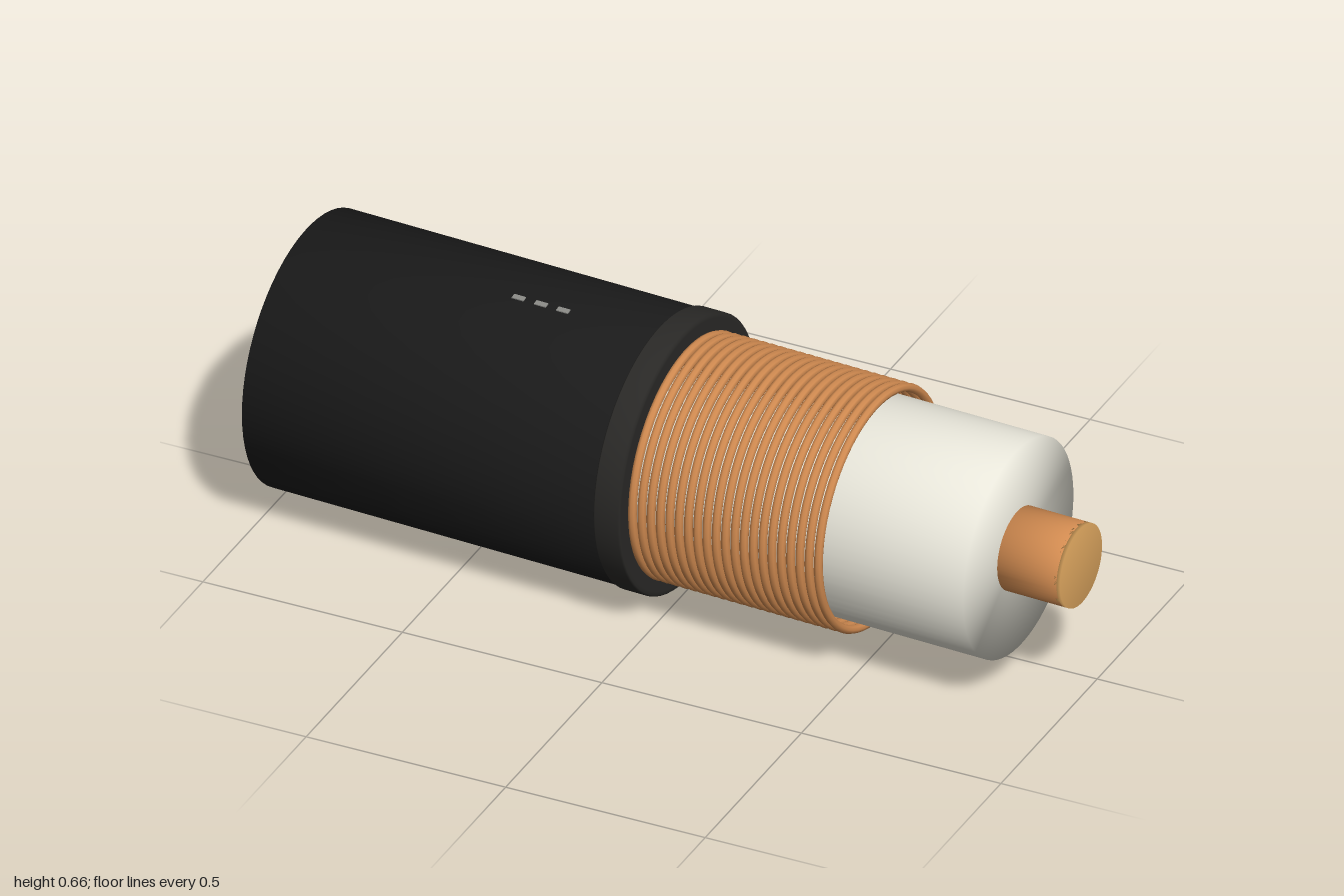
import * as THREE from 'three';

const SEG = 64;
const mat = (color) => new THREE.MeshStandardMaterial({ color, side: THREE.DoubleSide });
const black = mat(0x1a1a1a), rubber = mat(0x2a2927), copper = mat(0xd08a50);
const brightCopper = mat(0xe0a860), white = mat(0xe8e6da), grey = mat(0x8a8a86);

// Solid of revolution about the x axis; profile is [x, radius] pairs from left to right
function turned(name, profile, material) {
  const geo = new THREE.LatheGeometry(profile.map(([x, r]) => new THREE.Vector2(r, x)), SEG);
  geo.rotateZ(-Math.PI / 2);
  const mesh = new THREE.Mesh(geo, material);
  mesh.name = name;
  return mesh;
}

// Plain capped rod with softly shaded ends
const rod = (name, x0, x1, r, material) =>
  turned(name, [[x0, 0], [x0, r], [x1, r], [x1, 0]], material);

export function createModel() {
  const cable = new THREE.Group();
  cable.name = 'cable';

  // Outer sheath with its end collar
  cable.add(rod('jacket', -0.985, -0.03, 0.327, black));
  cable.add(turned('jacketCollar', [
    [-0.082, 0], [-0.082, 0.328], [-0.078, 0.332], [-0.02, 0.332],
    [-0.016, 0.328], [-0.016, 0.32], [-0.016, 0],
  ], rubber));

  // Shield wound from closely spaced wire rings
  const shield = new THREE.Group();
  shield.name = 'shield';
  const ringGeo = new THREE.TorusGeometry(0.2825, 0.0105, 8, SEG).rotateY(Math.PI / 2);
  const rings = 21;
  for (let i = 0; i < rings; i++) {
    const ring = new THREE.Mesh(ringGeo, copper);
    ring.name = 'shieldRing';
    ring.position.x = -0.007 + i * (0.477 / (rings - 1));
    shield.add(ring);
  }
  cable.add(shield);

  // Insulating core and centre conductor
  cable.add(rod('insulator', -0.02, 0.83, 0.262, white));
  cable.add(rod('conductor', 0.8, 0.982, 0.1, copper));
  cable.add(rod('conductorTip', 0.975, 0.991, 0.1, brightCopper));

  // Three short marks on top of the sheath
  const markGeo = new THREE.BoxGeometry(0.03, 0.006, 0.014);
  for (let i = -1; i <= 1; i++) {
    const mark = new THREE.Mesh(markGeo, grey);
    mark.name = 'jacketMark';
    mark.position.set(-0.367 + i * 0.057, 0.3225, 0.05);
    mark.rotation.x = 0.15;
    cable.add(mark);
  }

  // Cable lies slightly askew
  cable.position.set(0, 0.335, 0.0175);
  cable.rotation.y = -0.046;

  const model = new THREE.Group();
  model.name = 'strippedCable';
  model.add(cable);
  return model;
}
